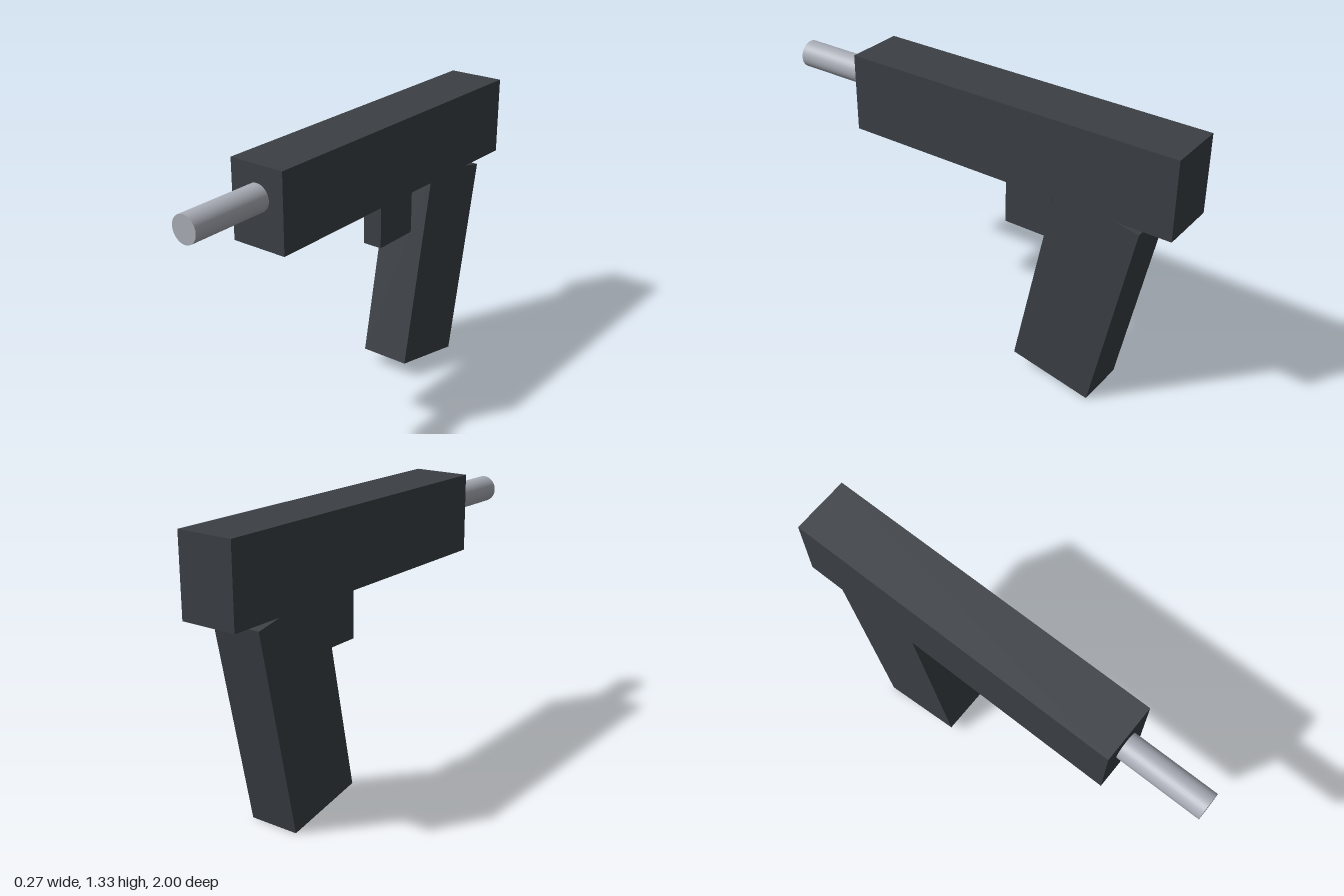
import * as THREE from 'three';

export function createModel() {
  const model = new THREE.Group();
  const darkSteel = new THREE.MeshStandardMaterial({ name: 'darkSteel', color: 0x3b4045 });
  const lightSteel = new THREE.MeshStandardMaterial({ name: 'lightSteel', color: 0xa9adb6 });

  function add(name, geometry, material, y, z, tilt = 0) {
    const mesh = new THREE.Mesh(geometry, material);
    mesh.name = name;
    mesh.position.set(0, y, z);
    mesh.rotation.x = tilt;
    model.add(mesh);
  }

  // Long upper body
  add('body', new THREE.BoxGeometry(0.27, 0.36, 1.6), darkSteel, 1.153, -0.2);

  // Round barrel, seated slightly inside the body
  add('barrel', new THREE.CylinderGeometry(0.062, 0.062, 0.45, 32), lightSteel, 1.192, 0.775, Math.PI / 2);

  // Grip leaning back towards its top
  add('grip', new THREE.BoxGeometry(0.24, 0.96, 0.4), darkSteel, 0.51, -0.56, -0.2);

  // Trigger block in front of the grip
  add('trigger', new THREE.BoxGeometry(0.096, 0.24, 0.24), darkSteel, 0.834, -0.28);

  return model;
}
